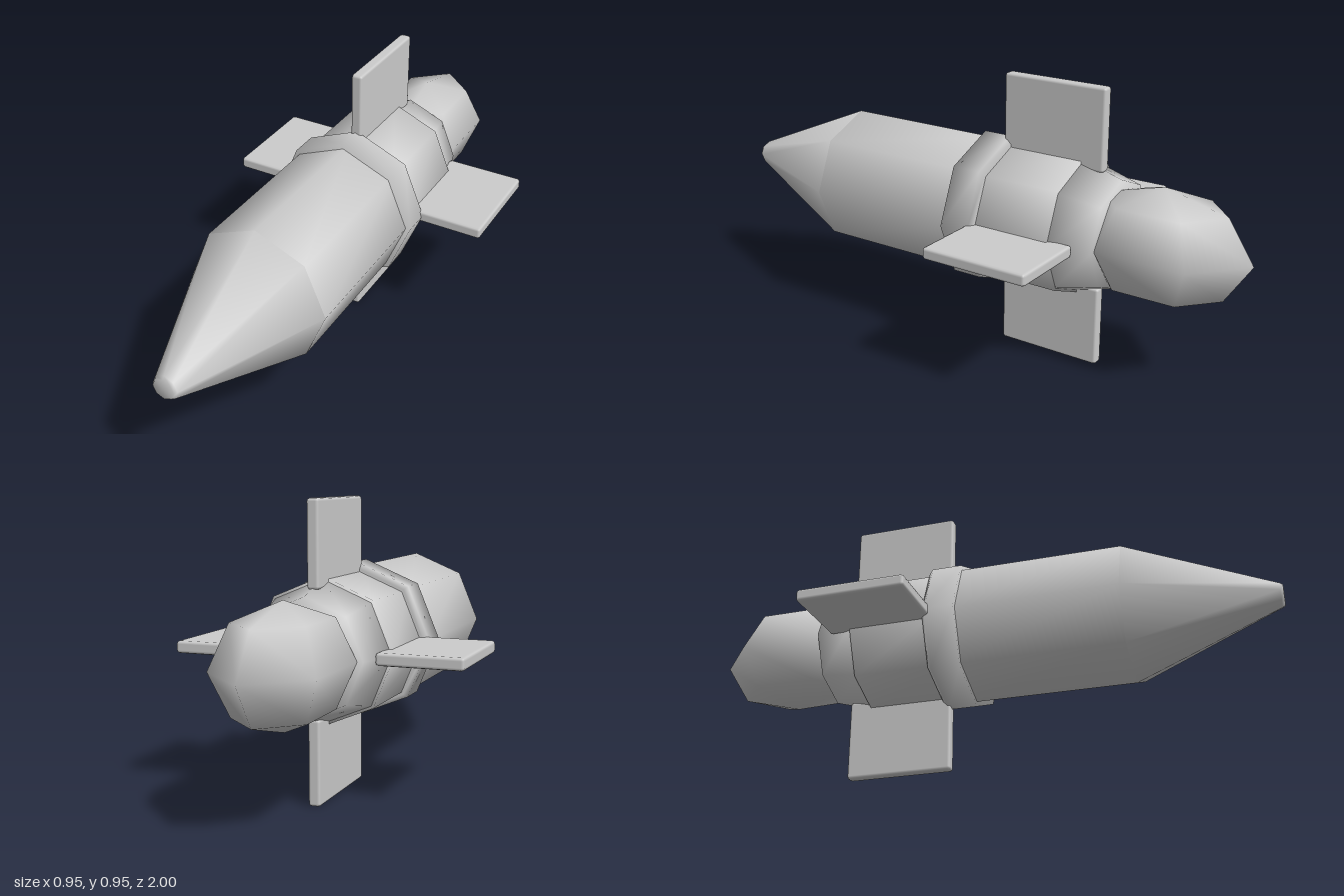
import * as THREE from 'three';
import { mergeVertices } from 'three/addons/utils/BufferGeometryUtils.js';
import { RoundedBoxGeometry } from 'three/addons/geometries/RoundedBoxGeometry.js';

const AXIS_Y = 0.477;

export function createModel() {
  const model = new THREE.Group();
  model.name = 'rocket';
  const grey = new THREE.MeshStandardMaterial({ color: 0xcccccc });
  grey.name = 'plain grey';

  const add = (name, geometry, parent = model) => {
    const mesh = new THREE.Mesh(geometry, grey);
    mesh.name = name;
    parent.add(mesh);
    return mesh;
  };

  // Share vertices so the low-poly forms shade smoothly, caps included
  const soften = (geometry) => {
    geometry.deleteAttribute('normal');
    geometry.deleteAttribute('uv');
    const merged = mergeVertices(geometry, 1e-4);
    merged.computeVertexNormals();
    return merged;
  };

  // Closed eight-sided solid along z; profile is [radius, z] from rear to front
  const turned = (name, profile) => {
    const first = profile[0], last = profile[profile.length - 1];
    const points = [[0, first[1]], ...profile, [0, last[1]]]
      .map(([r, z]) => new THREE.Vector2(r, z));
    const geometry = new THREE.LatheGeometry(points, 8);
    geometry.rotateX(Math.PI / 2);
    add(name, soften(geometry)).position.y = AXIS_Y;
  };

  turned('noseCone', [[0.243, 0.51], [0.043, 0.99], [0.036, 1]]);
  turned('mainBody', [[0.243, -0.09], [0.243, 0.51]]);
  turned('collar', [[0.245, -0.15], [0.26, -0.135], [0.26, -0.035]]);
  turned('rearBody', [[0.236, -0.415], [0.236, -0.09]]);
  turned('tailTaper', [[0.187, -0.552], [0.228, -0.41]]);

  // Faceted tail pod: poles up and down, one corner pointing straight back
  const pod = new THREE.SphereGeometry(0.193, 6, 4);
  pod.rotateY(Math.PI / 2);
  pod.scale(1, 1, 0.3 / 0.193);
  add('tailPod', soften(pod)).position.set(0, AXIS_Y, -0.7);

  // Four bevelled fins around the body
  const inner = 0.2, outer = 0.476;
  for (let i = 0; i < 4; i++) {
    const fin = new THREE.Group();
    fin.name = 'fin' + (i + 1);
    fin.position.y = AXIS_Y;
    fin.rotation.z = i * Math.PI / 2;
    const plate = new RoundedBoxGeometry(outer - inner, 0.04, 0.37, 1, 0.01);
    add('finPlate', plate, fin).position.set((inner + outer) / 2, 0, -0.308);
    model.add(fin);
  }
  return model;
}
